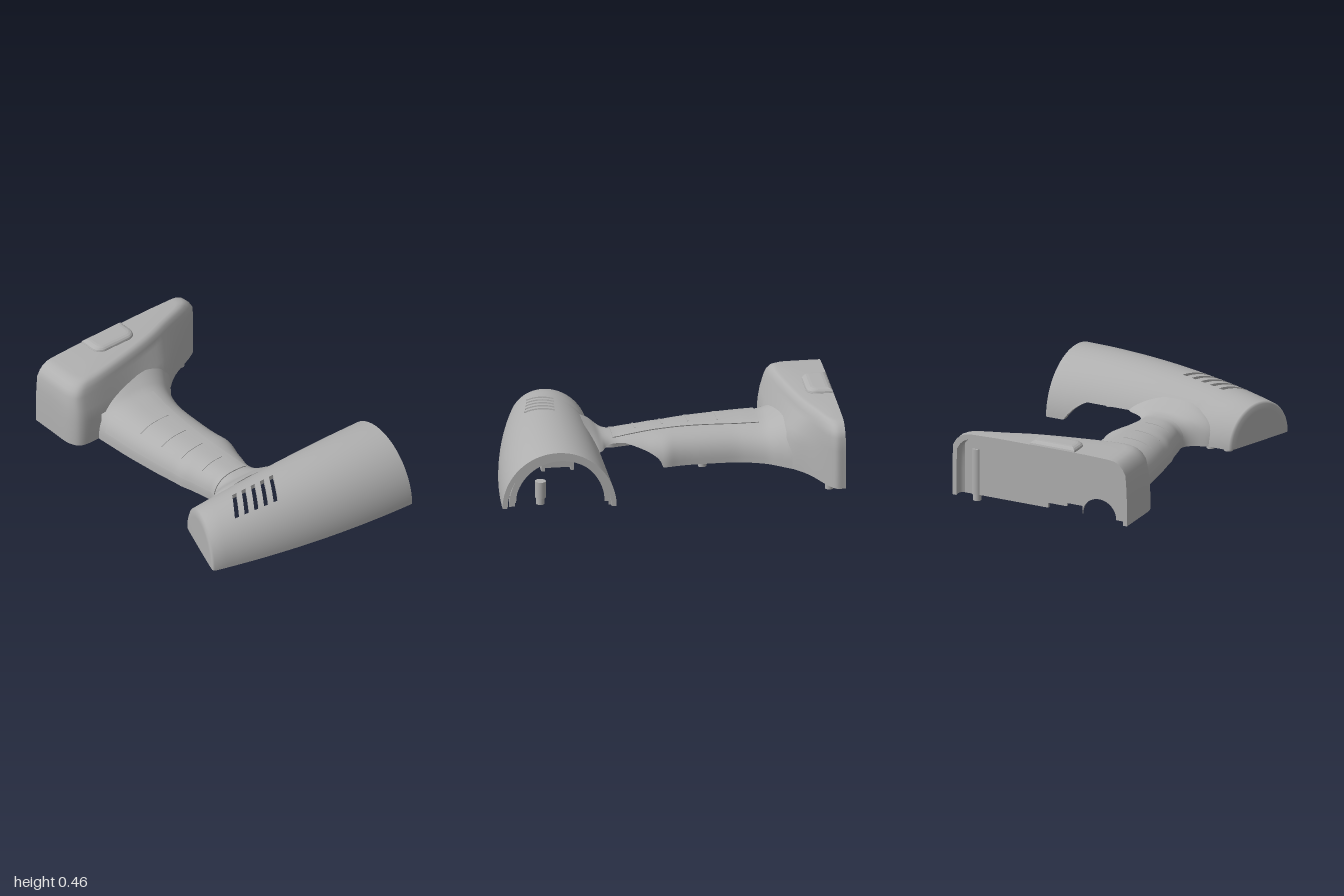
import * as THREE from 'three';

const BASE = 0.04;
const shellGrey = new THREE.MeshStandardMaterial({ color: 0xb0b0b0, side: THREE.DoubleSide });
shellGrey.name = 'shell grey';

function part(name, geometry, x = 0, y = 0, z = 0) {
  const mesh = new THREE.Mesh(geometry, shellGrey);
  mesh.name = name;
  mesh.position.set(x, y, z);
  return mesh;
}

// Double-walled grid; every open or cut edge is closed by a wall strip.
function shell(name, nu, nv, outer, inner, isCut = () => false) {
  const pos = [], index = [], row = nv + 1, count = (nu + 1) * row;
  for (const surface of [outer, inner])
    for (let i = 0; i <= nu; i++)
      for (let j = 0; j <= nv; j++) pos.push(...surface(i, j));
  const at = (k) => new THREE.Vector3(pos[3 * k], pos[3 * k + 1], pos[3 * k + 2]);
  const kept = [];
  for (let i = 0; i < nu; i++) {
    kept.push([]);
    for (let j = 0; j < nv; j++) {
      const a = i * row + j;
      kept[i][j] = !isCut(at(a).add(at(a + row + 1)).multiplyScalar(0.5), i, j);
    }
  }
  const wall = (p, q) => {
    const n = pos.length / 3;
    for (const k of [p, p + count, q + count, q]) pos.push(...at(k).toArray());
    index.push(n, n + 1, n + 2, n, n + 2, n + 3);
  };
  for (let i = 0; i < nu; i++) {
    for (let j = 0; j < nv; j++) {
      if (!kept[i][j]) continue;
      const a = i * row + j, b = a + row, c = b + 1, d = a + 1;
      index.push(a, b, c, a, c, d);
      index.push(a + count, c + count, b + count, a + count, d + count, c + count);
      if (!kept[i][j - 1]) wall(a, b);
      if (!kept[i + 1]?.[j]) wall(b, c);
      if (!kept[i][j + 1]) wall(c, d);
      if (!kept[i - 1]?.[j]) wall(d, a);
    }
  }
  const g = new THREE.BufferGeometry();
  g.setAttribute('position', new THREE.Float32BufferAttribute(pos, 3));
  g.setIndex(index);
  g.computeVertexNormals();
  return part(name, g);
}

// Motor housing: half-round stations, sheared so that slot edges follow them.
function barrel() {
  const station = (xa, xb) => {
    const m = (xa + xb) / 2;
    return { xa, xb, za: 0.345, zb: 0.937 + 0.167 * xb - 0.1 * xb * xb, h: 0.316 + 0.085 * m - 0.08 * m * m, open: 0 };
  };
  const shrink = (s, k, dx) => {
    const mx = (s.xa + s.xb) / 2 + dx, mz = (s.za + s.zb) / 2;
    const hx = (s.xb - s.xa) / 2 * k, hz = (s.zb - s.za) / 2 * k;
    return { ...s, xa: mx - hx, xb: mx + hx, za: mz - hz, zb: mz + hz, h: s.h * k };
  };
  const end = station(-0.51, -0.668);
  const stations = [shrink(end, 0, -0.015), shrink(end, 0.8, -0.014), shrink(end, 0.94, -0.012), end];
  stations.push(station(-0.38, -0.6), station(-0.27, -0.55));
  const slotCells = [];
  for (let i = 0; i < 5; i++) {
    const c = -0.4 + 0.0625 * i;
    slotCells.push(stations.length);
    for (const e of [-0.014, 0.014]) stations.push(station(c + e + 0.2, c + e - 0.12));
  }
  for (let i = 1; i <= 22; i++) {
    const t = i / 22;
    stations.push(station(0.065 + t * 0.607, -0.255 + t * 0.875));
  }
  // Rear edge lifts over the handle and the trigger opening
  for (const s of stations)
    if (s.xa > -0.26 && s.xa < 0.55) s.open = 0.125 * Math.min(1, (0.55 - s.xa) / 0.12) ** 0.6;
  const rows = 40, fixed = 22;
  const surface = (list) => (i, j) => {
    const s = list[i];
    const last = s.open ? Math.PI - Math.asin(s.open / s.h) : Math.PI;
    const start = Math.PI * fixed / rows;
    const a = j <= fixed ? Math.PI * j / rows : start + (last - start) * (j - fixed) / (rows - fixed);
    const w = (1 - Math.cos(a)) / 2;
    return [s.xb + (s.xa - s.xb) * w, BASE + s.h * Math.sin(a), s.zb + (s.za - s.zb) * w];
  };
  const inside = stations.map((s, i) => shrink(s, 0.91, i < 3 ? 0.03 : 0));
  return shell('motorHousing', stations.length - 1, rows, surface(stations), surface(inside),
    (p, i, j) => slotCells.includes(i) && j >= 13 && j <= 20);
}

// Handle stations: z, left edge, right edge, top.
const GRIP = [
  [-0.74, -0.38, 0.25, 0.31], [-0.66, -0.375, 0.19, 0.265], [-0.6, -0.372, 0.15, 0.243],
  [-0.5, -0.365, 0.115, 0.237], [-0.4, -0.358, 0.1, 0.232], [-0.2, -0.335, 0.1, 0.225],
  [-0.1, -0.32, 0.108, 0.22], [-0.03, -0.308, 0.12, 0.215], [0.03, -0.3, 0.108, 0.212],
  [0.1, -0.28, 0.085, 0.207], [0.2, -0.26, 0.065, 0.2], [0.25, -0.25, 0.06, 0.196],
  [0.29, -0.268, 0.077, 0.197], [0.32, -0.31, 0.12, 0.2], [0.345, -0.38, 0.18, 0.208],
  [0.38, -0.42, 0.2, 0.232], [0.43, -0.4, 0.18, 0.262],
];
const leftEdge = new THREE.CatmullRomCurve3(GRIP.map(([z, l, , t]) => new THREE.Vector3(l, t, z)), false, 'catmullrom');
const rightEdge = new THREE.CatmullRomCurve3(GRIP.map(([z, , r, t]) => new THREE.Vector3(r, t, z)), false, 'catmullrom');
const ROUND = 2.6;

function gripPoint(t, angle, off) {
  const l = leftEdge.getPoint(t), r = rightEdge.getPoint(t);
  const c = Math.cos(angle), s = Math.max(0, Math.sin(angle));
  const half = (r.x - l.x) / 2 + off;
  return [(l.x + r.x) / 2 - half * Math.sign(c) * Math.abs(c) ** (2 / ROUND),
    BASE + (l.y + off - BASE) * s ** (2 / ROUND), l.z];
}

// Handle shell: its right edge lifts into the trigger opening, and it ends inside the barrel wall.
function handle() {
  const nu = 80, nv = 32;
  const surface = (off) => (i, j) => {
    const p = rightEdge.getPoint(i / nu);
    const rise = p.z > 0 ? 0.125 * Math.min(1, p.z / 0.2) ** 0.4 : 0;
    const last = Math.PI - Math.asin((rise / (p.y + off - BASE)) ** (ROUND / 2));
    return gripPoint(i / nu, last * j / nv, off);
  };
  const buried = (p) => p.z > 0.35
    && p.y < BASE - 0.03 + 0.33 * Math.sqrt(Math.max(0, 1 - ((0.665 - p.z) / 0.32) ** 2));
  return shell('handle', nu, nv, surface(0), surface(-0.024), buried);
}

// Raised patch lying on the handle between two z values.
function gripPatch(name, z0, z1, from, inset, off) {
  const find = (z) => {
    let lo = 0, hi = 1;
    for (let k = 0; k < 30; k++) {
      const m = (lo + hi) / 2;
      if (leftEdge.getPoint(m).z < z) lo = m; else hi = m;
    }
    return lo;
  };
  const t0 = find(z0), t1 = find(z1), nu = z1 - z0 > 0.1 ? 40 : 1, nv = 16;
  const surface = (o) => (i, j) => {
    const t = t0 + (t1 - t0) * i / nu, l = leftEdge.getPoint(t), r = rightEdge.getPoint(t);
    const edge = -0.01 - 0.04 * Math.sin((l.z + 0.6) * 3.4) - inset;
    const c = ((l.x + r.x) / 2 - edge) / ((r.x - l.x) / 2);
    const to = Math.acos(Math.sign(c) * Math.abs(c) ** (ROUND / 2));
    return gripPoint(t, from + (to - from) * j / nv, o);
  };
  return shell(name, nu, nv, surface(off), surface(0));
}

// Battery foot: plan outlines stacked upward, then drawn in over the top.
function foot() {
  const curve = (pts) => new THREE.CatmullRomCurve3(pts.map(([x, z]) => new THREE.Vector3(x, 0, z)));
  const low = curve([[-0.54, -1], [-0.54, -0.85], [-0.535, -0.7], [-0.5, -0.645], [-0.4, -0.63],
    [-0.1, -0.66], [0.18, -0.7], [0.35, -0.82], [0.55, -0.915], [0.59, -0.95], [0.59, -1]]);
  const crest = curve([[-0.53, -1], [-0.53, -0.85], [-0.522, -0.725], [-0.49, -0.68], [-0.4, -0.672],
    [-0.1, -0.72], [0.18, -0.785], [0.35, -0.845], [0.55, -0.915], [0.585, -0.95], [0.585, -1]]);
  const layers = [[0.04, 1, 0], [0.1, 1, 0], [0.2, 1, 0.1], [0.27, 1, 0.4], [0.35, 1, 1], [0.385, 0.965, 1],
    [0.41, 0.92, 1], [0.424, 0.87, 1], [0.43, 0.8, 1], [0.435, 0.5, 1], [0.435, 0, 1]];
  const n = 50;
  const surface = (kx, ky, kz) => (i, j) => {
    const [y, s, blend] = layers[j];
    const p = low.getPoint(i / n).lerp(crest.getPoint(i / n), blend);
    return [p.x * s * kx, BASE + (y - BASE) * ky, -1 + (p.z + 1) * s * kz];
  };
  return shell('batteryFoot', n, layers.length - 1, surface(1, 1, 1), surface(0.955, 0.93, 0.91),
    (p) => p.y < 0.2 && p.x > -0.35 && p.x < 0.15 && p.z > -0.8);
}

// Upright half ring used for lips and internal ribs.
function halfRing(rx, ry, band, depth) {
  const s = new THREE.Shape();
  s.absellipse(0, 0, rx, ry, 0, Math.PI, false);
  s.absellipse(0, 0, rx - band, ry - band, Math.PI, 0, true);
  return new THREE.ExtrudeGeometry(s, { depth, bevelEnabled: false, curveSegments: 32 });
}

export function createModel() {
  const model = new THREE.Group();
  model.add(barrel(), foot(), handle());
  model.add(gripPatch('gripPanel', -0.58, 0.27, 0.25, 0, 0.006));
  for (const z of [-0.35, -0.18, -0.03, 0.13])
    model.add(gripPatch('gripRidge', z - 0.004, z + 0.004, 0.85, 0.05, 0.009));

  // Raised tab with sloping sides on top of the foot
  const tab = new THREE.Shape();
  tab.moveTo(-0.16, 0);
  tab.lineTo(-0.16, -0.05);
  tab.quadraticCurveTo(-0.16, -0.072, -0.138, -0.072);
  tab.lineTo(0.028, -0.072);
  tab.quadraticCurveTo(0.05, -0.072, 0.05, -0.05);
  tab.lineTo(0.05, 0);
  const tabGeometry = new THREE.ExtrudeGeometry(tab, { depth: 0.01, bevelSize: 0.04, bevelThickness: 0.025, bevelSegments: 4 });
  tabGeometry.rotateX(-Math.PI / 2).translate(0, 0.426, -0.96);
  model.add(part('latchTab', tabGeometry));

  // Recessed rear wall with cable notch and arch
  const wall = new THREE.Shape();
  wall.moveTo(-0.51, BASE);
  wall.lineTo(-0.44, BASE);
  wall.absarc(-0.33, BASE, 0.11, Math.PI, 0, true);
  wall.lineTo(-0.22, 0.09);
  wall.lineTo(-0.12, 0.09);
  wall.lineTo(-0.12, 0.07);
  wall.lineTo(0, 0.07);
  wall.lineTo(0, BASE);
  wall.lineTo(0.54, BASE);
  wall.lineTo(0.54, 0.34);
  wall.quadraticCurveTo(0.52, 0.4, 0.45, 0.408);
  wall.lineTo(-0.41, 0.408);
  wall.quadraticCurveTo(-0.5, 0.4, -0.51, 0.33);
  model.add(part('rearWall', new THREE.ExtrudeGeometry(wall, { depth: 0.015, bevelEnabled: false }), 0, 0, -0.94));

  // Stepped nose lip, motor cradle and web inside the barrel
  for (const [x, r, band] of [[0.6, 0.305, 0.035], [0.54, 0.295, 0.04]]) {
    const rib = part('noseLip', halfRing(r, r * 1.02, band, 0.02), x, BASE, 0.655);
    rib.rotation.y = Math.PI / 2 - 0.085;
    model.add(rib);
  }
  for (const z of [0.575, 0.745])
    model.add(part('cradleSide', new THREE.BoxGeometry(0.05, 0.13, 0.02), 0.45, 0.265, z));
  model.add(part('cradleBridge', new THREE.BoxGeometry(0.05, 0.09, 0.17), 0.45, 0.265, 0.66));
  model.add(part('barrelWeb', new THREE.BoxGeometry(0.015, 0.2, 0.06), -0.12, 0.14, 0.8));

  // Ribs across the handle near the foot
  for (const z of [-0.62, -0.54])
    model.add(part('handleRib', halfRing(0.235, 0.18, 0.05, 0.015), -0.115, BASE, z));

  // Screw bosses with locating pegs below the parting line: x, z, height
  for (const [x, z, h] of [[-0.53, 0.74, 0.12], [-0.46, 0.44, 0.12], [-0.35, 0.43, 0.14], [0.47, 0.76, 0.14],
    [0.025, -0.245, 0.15], [0.47, -0.92, 0.32]]) {
    model.add(part('locatingPeg', new THREE.CylinderGeometry(0.025, 0.025, 0.06, 20), x, 0.03, z));
    model.add(part('screwBoss', new THREE.CylinderGeometry(0.032, 0.032, h - BASE, 20), x, (h + BASE) / 2, z));
  }
  return model;
}
